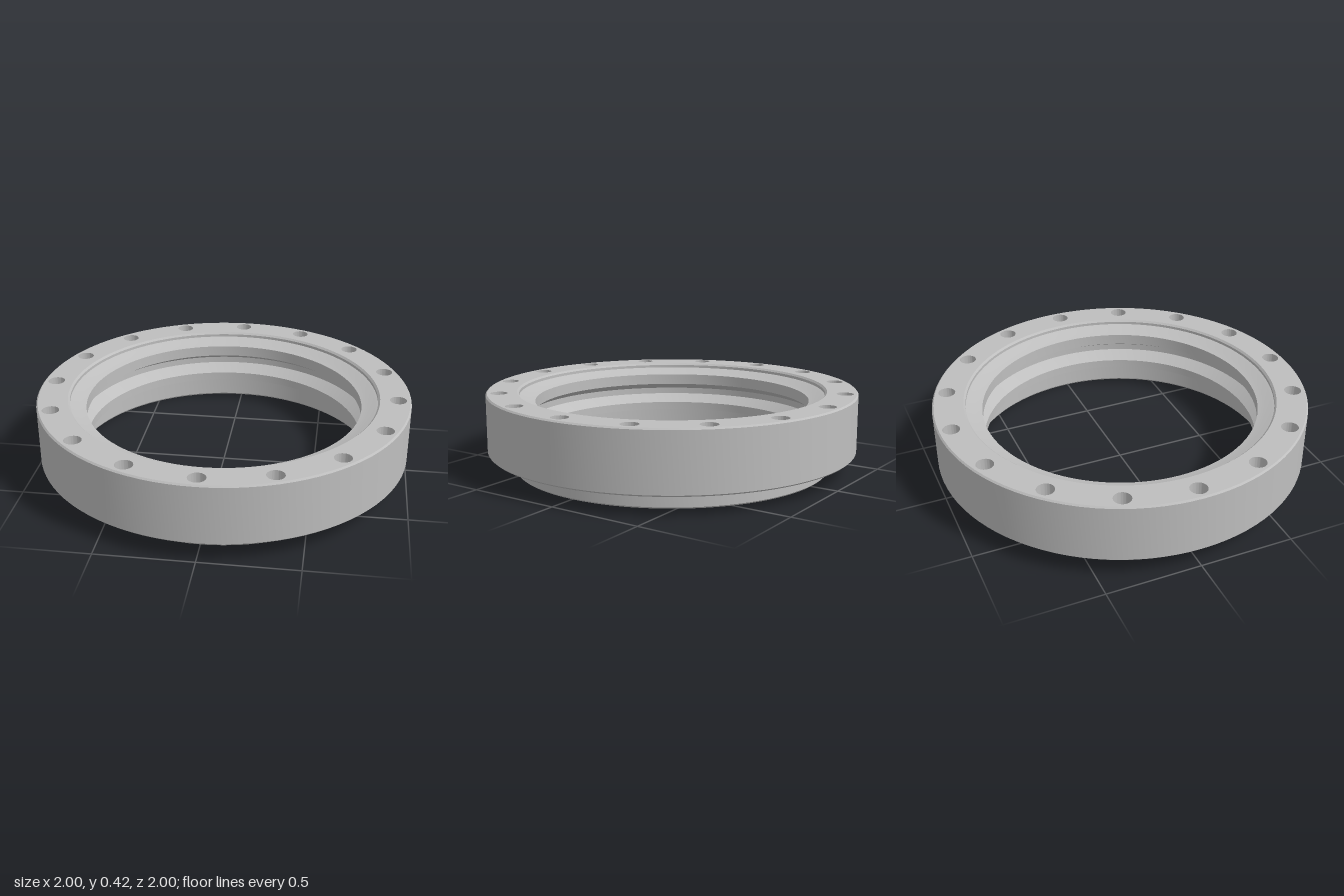
import * as THREE from 'three';
import { toCreasedNormals } from 'three/addons/utils/BufferGeometryUtils.js';

const SEGMENTS = 96;
const HOLES = 16;
const HOLE_CIRCLE = 0.93;
const HOLE_RADIUS = 0.045;
const TOP = 0.42;
const STEP = 0.1;

export function createModel() {
  const group = new THREE.Group();
  const steel = new THREE.MeshStandardMaterial({ color: 0xbebebe });
  steel.name = 'grey steel';

  const add = (name, geometry) => {
    const mesh = new THREE.Mesh(geometry, steel);
    mesh.name = name;
    group.add(mesh);
    return mesh;
  };

  // Profiles running up face outwards, profiles running down face inwards
  const turned = (profile) => toCreasedNormals(
    new THREE.LatheGeometry(profile.map(([r, y]) => new THREE.Vector2(r, y)), SEGMENTS), 0.2);

  const holeCentres = Array.from({ length: HOLES }, (_, i) => {
    const a = (i / HOLES) * Math.PI * 2;
    return [Math.cos(a) * HOLE_CIRCLE, Math.sin(a) * HOLE_CIRCLE];
  });

  // Flat ring pierced by the bolt holes
  const piercedRing = (inner, outer) => {
    const shape = new THREE.Shape().absarc(0, 0, outer, 0, Math.PI * 2);
    const cut = (x, y, r) =>
      shape.holes.push(new THREE.Path().absarc(x, y, r, 0, Math.PI * 2, true));
    cut(0, 0, inner);
    holeCentres.forEach(([x, y]) => cut(x, y, HOLE_RADIUS));
    return new THREE.ShapeGeometry(shape, SEGMENTS / 2);
  };

  // Flange faces
  add('flangeTop', piercedRing(0.835, 0.992).rotateX(-Math.PI / 2)).position.y = TOP;
  add('flangeUnderside', piercedRing(0.86, 0.992).rotateX(Math.PI / 2)).position.y = STEP;

  // Outer rim with small chamfers
  add('flangeRim', turned([
    [0.992, STEP], [1, STEP + 0.008], [1, TOP - 0.008], [0.992, TOP],
  ]));

  // Stepped mouth, upper rib, groove, lower rib and bottom recess
  add('bore', turned([
    [0.835, TOP], [0.825, 0.41], [0.825, 0.395], [0.81, 0.39],
    [0.775, 0.375], [0.74, 0.365], [0.74, 0.305],
    [0.8, 0.27], [0.8, 0.235], [0.74, 0.19],
    [0.74, 0.145], [0.83, 0.14], [0.83, 0.008], [0.835, 0],
  ]));

  // Locating ring below the flange
  add('spigot', turned([
    [0.835, 0], [0.852, 0], [0.86, 0.008], [0.86, STEP],
  ]));

  // Walls of the bolt holes
  const holeWall = turned([[HOLE_RADIUS, TOP], [HOLE_RADIUS, STEP]]);
  holeCentres.forEach(([x, z]) => add('boltHole', holeWall).position.set(x, 0, z));

  return group;
}
